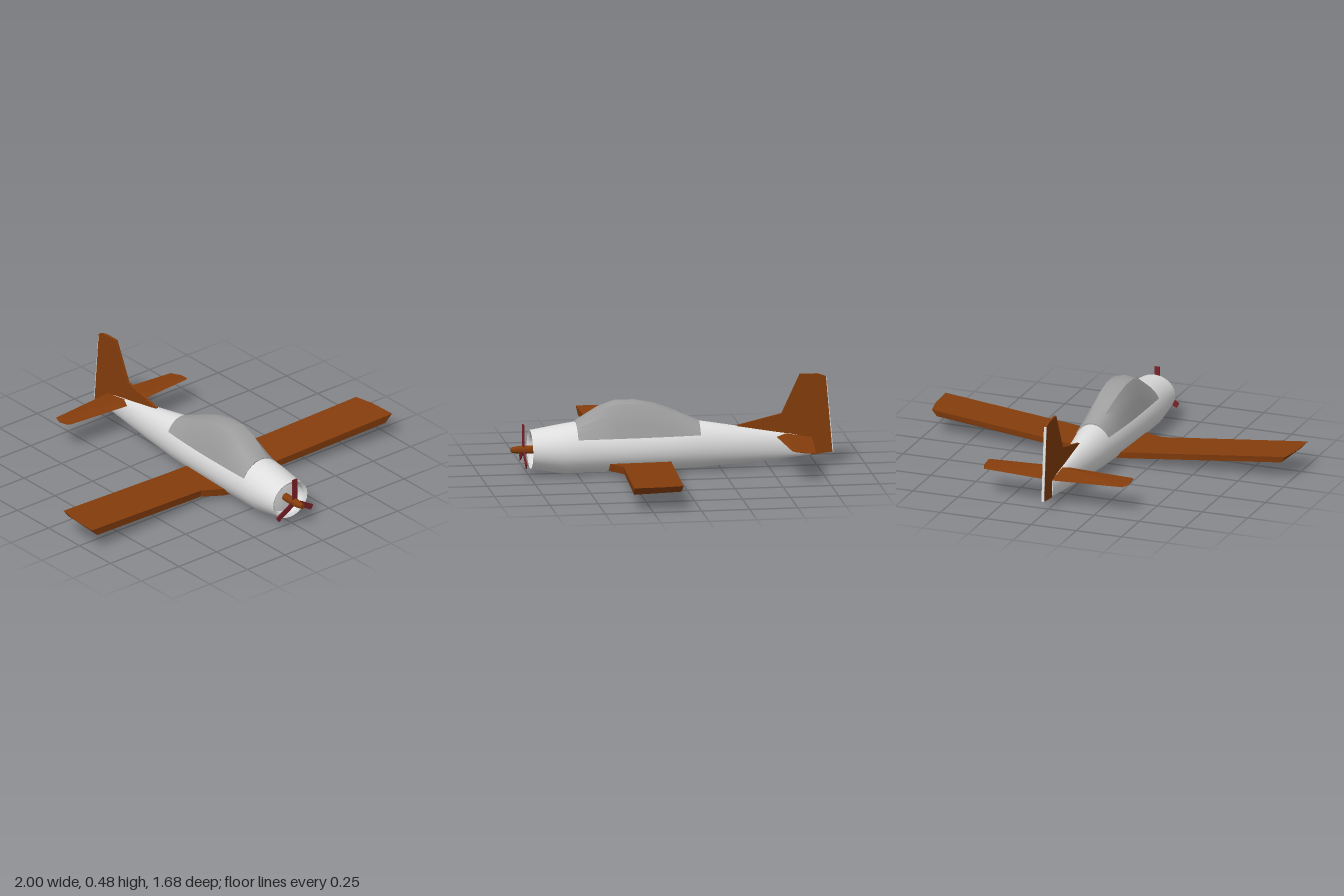
import * as THREE from 'three';
import { toCreasedNormals } from 'three/addons/utils/BufferGeometryUtils.js';

const paint = (name, color) => {
  const m = new THREE.MeshStandardMaterial({ color });
  m.name = name;
  return m;
};

// Skin a list of closed rings of [x, y, z] points, with both ends capped
function loft(rings, crease) {
  const n = rings[0].length, index = [];
  for (let i = 0; i < rings.length - 1; i++) {
    for (let j = 0; j < n; j++) {
      const a = i * n + j, b = i * n + (j + 1) % n, c = a + n, d = b + n;
      index.push(a, c, b, b, c, d);
    }
  }
  const last = (rings.length - 1) * n;
  for (let j = 1; j < n - 1; j++) {
    index.push(0, j, j + 1, last, last + j + 1, last + j);
  }
  const g = new THREE.BufferGeometry();
  g.setAttribute('position', new THREE.Float32BufferAttribute(rings.flat(2), 3));
  g.setIndex(index);
  return toCreasedNormals(g, crease);
}

// Complete a half span (tip to root) with its mirror image
const mirrorSpan = (half) =>
  [...half, ...half.slice(0, -1).reverse().map((r) => r.map(([x, y, z]) => [-x, y, z]))];

export function createModel() {
  const group = new THREE.Group();
  group.name = 'airplane';
  const white = paint('bodyWhite', 0xdedede);
  const grey = paint('canopyGrey', 0x9e9e9e);
  const brown = paint('wingBrown', 0x853d0c);
  const red = paint('propellerRed', 0x7a2228);

  const add = (name, geometry, material, parent = group) => {
    const mesh = new THREE.Mesh(geometry, material);
    mesh.name = name;
    parent.add(mesh);
    return mesh;
  };

  // Fuselage: recessed cowl interior, lip, then body; [z, half width, bottom, top, middle]
  const body = [
    [0.70, 0.005, 0.13, 0.14, 0.135],
    [0.69, 0.095, 0.053, 0.217, 0.135],
    [0.73, 0.10, 0.048, 0.222, 0.135],
    [0.74, 0.114, 0.035, 0.235, 0.135],
    [0.57, 0.13, 0.005, 0.263, 0.135],
    [0.50, 0.13, 0.006, 0.273, 0.135],
    [0.30, 0.127, 0.008, 0.27, 0.135],
    [0.00, 0.113, 0.011, 0.265, 0.135],
    [-0.13, 0.102, 0.015, 0.26, 0.135],
    [-0.34, 0.073, 0.026, 0.224, 0.128],
    [-0.53, 0.042, 0.042, 0.19, 0.118],
    [-0.72, 0.011, 0.06, 0.16, 0.11],
  ];
  const sides = 24;
  add('fuselage', loft(body.map(([z, w, bottom, top, mid]) =>
    Array.from({ length: sides }, (_, i) => {
      const a = (i / sides) * Math.PI * 2, s = Math.sin(a);
      return [w * Math.cos(a), mid + s * (s > 0 ? top - mid : mid - bottom), z];
    })), 0.6), white);

  // Canopy: rounded ends blending into a taller, flat-sided middle; [z, half width, top]
  const heights = [0, 0.35, 0.7, 0.93, 1];
  const endShape = [1, 0.86, 0.62, 0.36, 0];
  const midShape = [1, 0.85, 0.67, 0.47, 0];
  const canopy = [
    [0.505, 0.116, 0.276], [0.38, 0.116, 0.353], [0.30, 0.115, 0.382], [0.20, 0.113, 0.382],
    [0.10, 0.109, 0.362], [0.02, 0.104, 0.333], [-0.06, 0.098, 0.297], [-0.135, 0.091, 0.264],
  ];
  add('canopy', loft(canopy.map(([z, w, top]) => {
    const k = THREE.MathUtils.clamp((top - 0.265) / 0.1, 0, 1);
    const half = heights.map((h, i) =>
      [w * THREE.MathUtils.lerp(endShape[i], midShape[i], k), 0.2 + h * (top - 0.2), z]);
    return [...half, ...half.slice(0, -1).reverse().map(([x, y, zz]) => [-x, y, zz])];
  }), 0.6), grey);

  // Main wing: slab section with blunt edges, dihedral, undercut tips and root fillets
  const wingRing = (x, lead, trail, top, bottom) => [
    [x, top, trail], [x, top, (lead + trail) / 2], [x, top, lead],
    [x, bottom, lead - 0.005], [x, bottom + 0.006, trail + 0.003],
  ];
  add('wing', loft(mirrorSpan([
    [[0.975, 0.134, 0.09], [0.996, 0.135, 0.2], [1, 0.135, 0.35],
      [0.96, 0.093, 0.345], [0.95, 0.099, 0.097]],
    wingRing(0.22, 0.287, 0.03, 0.076, 0.038),
    wingRing(0.11, 0.34, 0.02, 0.069, 0.03),
    wingRing(0, 0.36, 0.015, 0.06, 0.024),
  ]), 0.3), brown);

  // Tailplane: thin diamond section tapering to rounded tips
  const tailRing = (x, lead, trail, t) => [
    [x, 0.154, trail], [x, 0.16 + t, lead - 0.05], [x, 0.165, lead], [x, 0.16 - t, lead - 0.05],
  ];
  add('tailplane', loft(mirrorSpan([
    tailRing(0.40, -0.575, -0.64, 0.002),
    tailRing(0.382, -0.566, -0.688, 0.003),
    tailRing(0, -0.535, -0.725, 0.018),
  ]), 0.3), brown);

  // Upright plates, outlined as [distance aft, height]
  const plate = (name, outline, thickness, material) => {
    const shape = new THREE.Shape(outline.map(([u, y]) => new THREE.Vector2(u, y)));
    const g = new THREE.ExtrudeGeometry(shape, { depth: thickness, bevelEnabled: false });
    g.translate(0, 0, -thickness / 2).rotateY(Math.PI / 2);
    add(name, g, material);
  };
  plate('fin', [
    [0.335, 0.205], [0.72, 0.15], [0.72, 0.06], [0.831, 0.073], [0.797, 0.47],
    [0.755, 0.485], [0.662, 0.486], [0.567, 0.282], [0.335, 0.227],
  ], 0.014, brown);
  plate('rudderTrailingEdge', [[0.831, 0.073], [0.836, 0.074], [0.8, 0.468], [0.797, 0.47]],
    0.014, white);

  // Propeller: blunt spinner and three flat blades
  const propeller = new THREE.Group();
  propeller.name = 'propeller';
  propeller.position.set(0, 0.135, 0.775);
  group.add(propeller);
  const profile = [[0, -0.08], [0.02, -0.08], [0.022, 0], [0.018, 0.04], [0.013, 0.064], [0, 0.065]];
  const spinner = new THREE.LatheGeometry(profile.map(([r, y]) => new THREE.Vector2(r, y)), 16);
  add('spinner', toCreasedNormals(spinner.rotateX(Math.PI / 2), 0.6), brown, propeller);
  for (let i = 0; i < 3; i++) {
    const blade = new THREE.BoxGeometry(0.03, 0.12, 0.006).translate(0, 0.072, 0);
    add('blade', blade, red, propeller).rotation.z = (i * Math.PI * 2) / 3;
  }
  return group;
}
